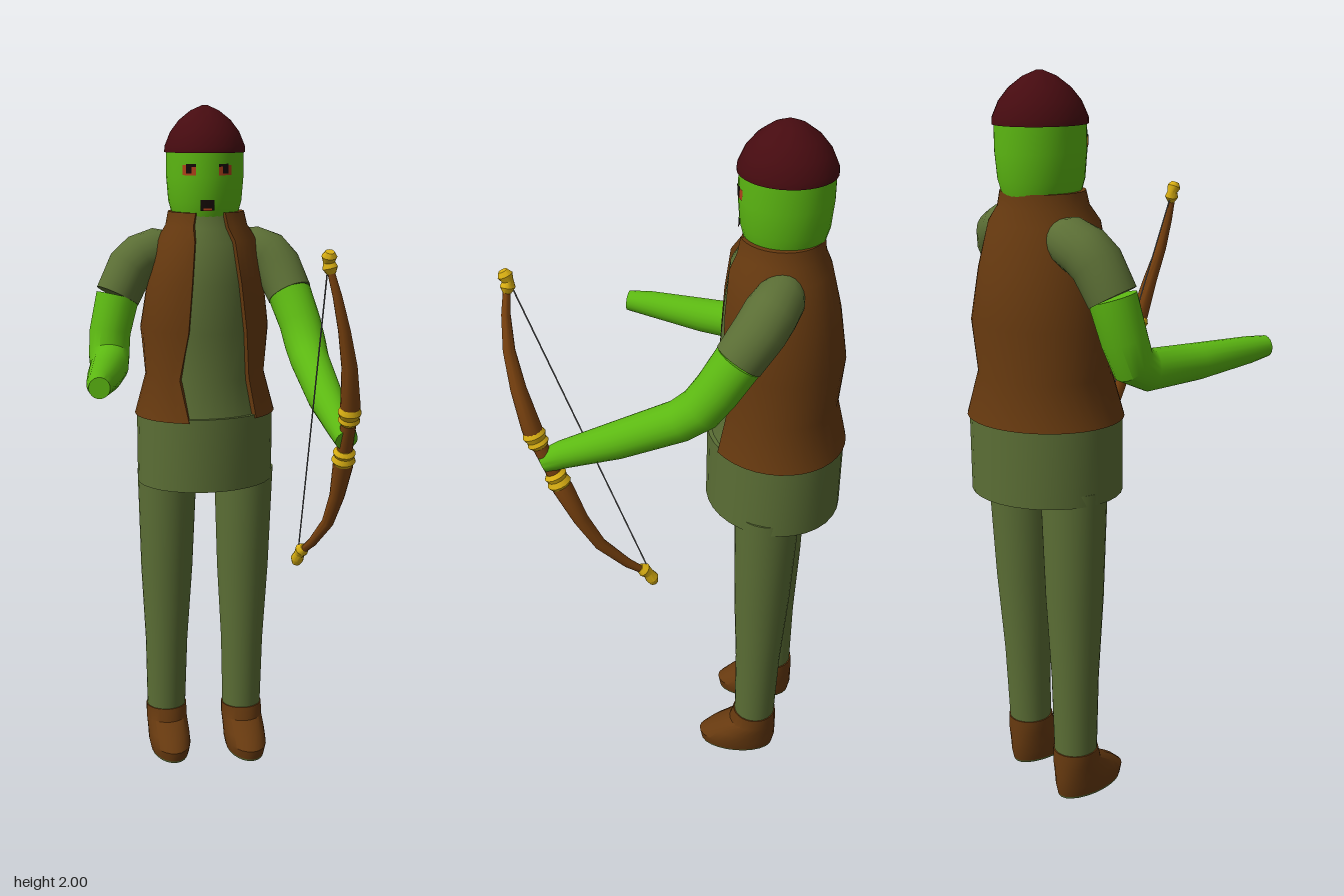
import * as THREE from 'three';
import { toCreasedNormals } from 'three/addons/utils/BufferGeometryUtils.js';

const V = (x, y, z) => new THREE.Vector3(x, y, z);
const mat = (name, color, side = THREE.FrontSide) => {
  const m = new THREE.MeshStandardMaterial({ color, side });
  m.name = name;
  return m;
};

// Skin closed cross-sections; capMode 'fan' for convex ends, 'strip' for C-shaped ends
function loft(rings, capMode = 'fan') {
  const n = rings[0].length, pos = [], idx = [];
  rings.forEach(r => r.forEach(p => pos.push(p.x, p.y, p.z)));
  for (let i = 0; i < rings.length - 1; i++) {
    for (let j = 0; j < n; j++) {
      const k = (j + 1) % n, a = i * n + j, b = i * n + k;
      idx.push(a, b, b + n, a, b + n, a + n);
    }
  }
  const top = (rings.length - 1) * n;
  const cap = (a, b, c) => idx.push(top + a, top + b, top + c, c, b, a);
  if (capMode === 'fan') for (let j = 1; j < n - 1; j++) cap(0, j, j + 1);
  else for (let j = 0; j < n / 2 - 1; j++) {
    cap(j, j + 1, n - 2 - j);
    cap(j, n - 2 - j, n - 1 - j);
  }
  const g = new THREE.BufferGeometry();
  g.setAttribute('position', new THREE.Float32BufferAttribute(pos, 3));
  g.setIndex(idx);
  return toCreasedNormals(g, 0.6);
}

// Horizontal oval ring
function oval(y, rx, rz, cx, cz, n = 32) {
  return Array.from({ length: n }, (_, j) => {
    const t = j / n * Math.PI * 2;
    return V(cx + rx * Math.sin(t), y, cz + rz * Math.cos(t));
  });
}

// Round limb through [x, y, z, radius] points, listed upwards
function limb(pts, n = 20) {
  const P = pts.map(p => V(p[0], p[1], p[2]));
  return loft(P.map((p, i) => {
    const dir = V(0, 0, 0);
    if (i > 0) dir.add(P[i].clone().sub(P[i - 1]).normalize());
    if (i < P.length - 1) dir.add(P[i + 1].clone().sub(P[i]).normalize());
    const q = new THREE.Quaternion().setFromUnitVectors(V(0, 1, 0), dir.normalize());
    return oval(0, pts[i][3], pts[i][3], 0, 0, n).map(v => v.applyQuaternion(q).add(p));
  }));
}

export function createModel() {
  const root = new THREE.Group();
  root.name = 'archer';
  const skin = mat('green skin', 0x5cb812);
  const cloth = mat('olive cloth', 0x5b6e35);
  const leather = mat('brown leather', 0x66390f);
  const wine = mat('dark red cap', 0x460b10);
  const gold = mat('gold', 0xd8ae12);
  const wood = mat('bow wood', 0x7a420f);
  const black = mat('black', 0x140806, THREE.DoubleSide);
  const red = mat('eye red', 0xb0401a, THREE.DoubleSide);
  const grey = mat('string grey', 0x777777);
  const add = (name, geo, m, parent = root) => {
    const mesh = new THREE.Mesh(geo, m);
    mesh.name = name;
    parent.add(mesh);
    return mesh;
  };
  const CX = 0.13;

  // Vest profile: y, rx, rz, cz, left and right edges of the front opening
  const vest = [
    [1.1, 0.218, 0.192, -0.265, -0.01, 0.2],
    [1.22, 0.184, 0.164, -0.265, -0.015, 0.19],
    [1.36, 0.198, 0.173, -0.267, 0, 0.175],
    [1.5, 0.177, 0.158, -0.26, 0.015, 0.16],
    [1.62, 0.15, 0.136, -0.252, 0.03, 0.145],
    [1.66, 0.122, 0.116, -0.255, 0.04, 0.135],
    [1.7, 0.113, 0.109, -0.257, 0.05, 0.13],
  ];
  const vestRing = ([y, rx, rz, cz, xl, xr]) => {
    const t0 = Math.asin((xr - CX) / rx), t1 = Math.PI * 2 + Math.asin((xl - CX) / rx);
    const arc = d => Array.from({ length: 33 }, (_, j) => {
      const t = t0 + (t1 - t0) * j / 32;
      return V(CX + (rx - d) * Math.sin(t), y, cz + (rz - d) * Math.cos(t));
    });
    return [...arc(0), ...arc(0.02).reverse()];
  };
  add('vest', loft(vest.map(vestRing), 'strip'), leather);
  add('shirt', loft(vest.map(([y, rx, rz, cz]) => oval(y - 0.005, rx - 0.013, rz - 0.013, CX, cz))), cloth);
  add('tunicSkirt', loft([oval(0.89, 0.212, 0.187, CX, -0.265), oval(1.11, 0.212, 0.187, CX, -0.265)]), cloth);

  // Legs and boots, both feet turned slightly to the right
  const legs = [['right', 0.022, -0.31, 0.02, -0.325], ['left', 0.242, -0.22, 0.233, -0.212]];
  for (const [side, tx, tz, ax, az] of legs) {
    const at = (k, r) => [ax + (tx - ax) * k, 0.12 + 0.8 * k, az + (tz - az) * k, r];
    add(side + 'Leg', limb([at(0, 0.06), at(0.3, 0.066), at(0.6, 0.08), at(1, 0.091)], 28), cloth);
    const foot = new THREE.Group();
    foot.name = side + 'Boot';
    foot.position.set(ax, 0, az);
    foot.rotation.y = -0.32;
    root.add(foot);
    const ring = ([y, w, back, front]) => oval(y, w, (front - back) / 2, 0, (front + back) / 2, 24);
    add('boot', loft([
      [0.006, 0.058, -0.06, 0.162], [0.035, 0.064, -0.066, 0.168], [0.065, 0.064, -0.066, 0.135],
      [0.1, 0.064, -0.066, 0.075], [0.14, 0.064, -0.064, 0.064],
    ].map(ring)), leather, foot);
    add('sole', loft([[0, 0.056, -0.058, 0.16], [0.006, 0.058, -0.06, 0.162]].map(ring)), cloth, foot);
  }

  // Arms, from hand up to sleeve
  add('rightArm', limb([
    [-0.38, 1.272, 0.047, 0.029], [-0.35, 1.27, -0.01, 0.037], [-0.265, 1.262, -0.15, 0.049],
    [-0.185, 1.26, -0.28, 0.056], [-0.162, 1.285, -0.325, 0.06], [-0.148, 1.35, -0.345, 0.061],
    [-0.118, 1.455, -0.35, 0.064],
  ]), skin);
  add('rightSleeve', limb([
    [-0.118, 1.455, -0.35, 0.067], [-0.075, 1.535, -0.35, 0.07], [-0.04, 1.565, -0.347, 0.07],
    [0.01, 1.585, -0.335, 0.066], [0.05, 1.59, -0.32, 0.05],
  ]), cloth);
  add('leftArm', limb([
    [0.185, 1.13, 0.385, 0.031], [0.2, 1.155, 0.335, 0.038], [0.245, 1.21, 0.2, 0.05],
    [0.3, 1.285, 0.045, 0.056], [0.318, 1.325, -0.005, 0.06], [0.326, 1.38, -0.045, 0.061],
    [0.325, 1.46, -0.1, 0.064],
  ]), skin);
  add('leftSleeve', limb([
    [0.325, 1.46, -0.1, 0.066], [0.318, 1.535, -0.155, 0.07], [0.3, 1.57, -0.185, 0.07],
    [0.265, 1.59, -0.22, 0.064], [0.235, 1.6, -0.24, 0.05],
  ]), cloth);

  // Head, turned to the right
  const head = new THREE.Group();
  head.name = 'head';
  head.position.set(CX, 0, -0.263);
  head.rotation.y = -0.47;
  head.scale.set(0.97, 1, 1.04);
  root.add(head);
  add('face', loft([[1.66, 0.09], [1.69, 0.1], [1.73, 0.111], [1.8, 0.117], [1.88, 0.117]]
    .map(([y, r]) => oval(y, r, r, 0, 0))), skin, head);
  add('cap', loft([[1.868, 0.122], [1.885, 0.121], [1.925, 0.104], [1.958, 0.078], [1.985, 0.043], [2, 0.008]]
    .map(([y, r]) => oval(y, r, r, 0, 0))), wine, head);
  const plate = (name, m, r, y, h, a, w) =>
    add(name, new THREE.CylinderGeometry(r, r, h, 6, 1, true, a - w / 2, w), m, head).position.y = y;
  for (const s of [-1, 1]) {
    plate('eye', red, 0.1185, 1.82, 0.028, s * 0.47, 0.36);
    plate('pupil', black, 0.12, 1.822, 0.022, s * 0.47, 0.15);
    plate('brow', black, 0.1195, 1.834, 0.008, s * 0.42, 0.26);
  }
  plate('mouth', black, 0.113, 1.722, 0.03, 0, 0.38);
  plate('lip', red, 0.114, 1.711, 0.006, 0, 0.22);

  // Bow with gold fittings and string
  const bow = new THREE.Group();
  bow.name = 'bow';
  root.add(bow);
  add('lowerLimb', limb([
    [0.225, 0.735, 0.12, 0.009], [0.228, 0.78, 0.175, 0.013], [0.227, 0.86, 0.25, 0.017],
    [0.22, 0.95, 0.3, 0.021], [0.207, 1.05, 0.342, 0.028], [0.2, 1.08, 0.355, 0.024],
  ], 14), wood, bow);
  add('grip', limb([[0.2, 1.08, 0.355, 0.021], [0.18, 1.2, 0.402, 0.021]], 14), wood, bow);
  add('upperLimb', limb([
    [0.18, 1.2, 0.402, 0.024], [0.175, 1.23, 0.411, 0.027], [0.15, 1.34, 0.436, 0.021],
    [0.12, 1.44, 0.45, 0.016], [0.096, 1.53, 0.449, 0.012], [0.078, 1.6, 0.44, 0.009],
  ], 14), wood, bow);
  add('lowerBand', limb([
    [0.204, 1.055, 0.346, 0.026], [0.202, 1.066, 0.35, 0.033], [0.2, 1.08, 0.355, 0.027],
    [0.198, 1.09, 0.359, 0.031], [0.196, 1.1, 0.363, 0.022],
  ], 16), gold, bow);
  add('upperBand', limb([
    [0.184, 1.178, 0.393, 0.022], [0.182, 1.188, 0.397, 0.03], [0.18, 1.198, 0.401, 0.026],
    [0.177, 1.212, 0.406, 0.032], [0.175, 1.225, 0.41, 0.026],
  ], 16), gold, bow);
  add('lowerTip', limb([
    [0.225, 0.695, 0.1, 0.012], [0.225, 0.712, 0.105, 0.019], [0.225, 0.73, 0.116, 0.015],
    [0.225, 0.745, 0.128, 0.02], [0.226, 0.755, 0.14, 0.012],
  ], 12), gold, bow);
  add('upperTip', limb([
    [0.083, 1.585, 0.441, 0.011], [0.08, 1.6, 0.438, 0.02], [0.077, 1.615, 0.437, 0.015],
    [0.074, 1.63, 0.442, 0.02], [0.072, 1.642, 0.447, 0.012],
  ], 12), gold, bow);
  add('string', limb([[0.225, 0.725, 0.108, 0.002], [0.078, 1.61, 0.432, 0.002]], 6), grey, bow);

  return root;
}
